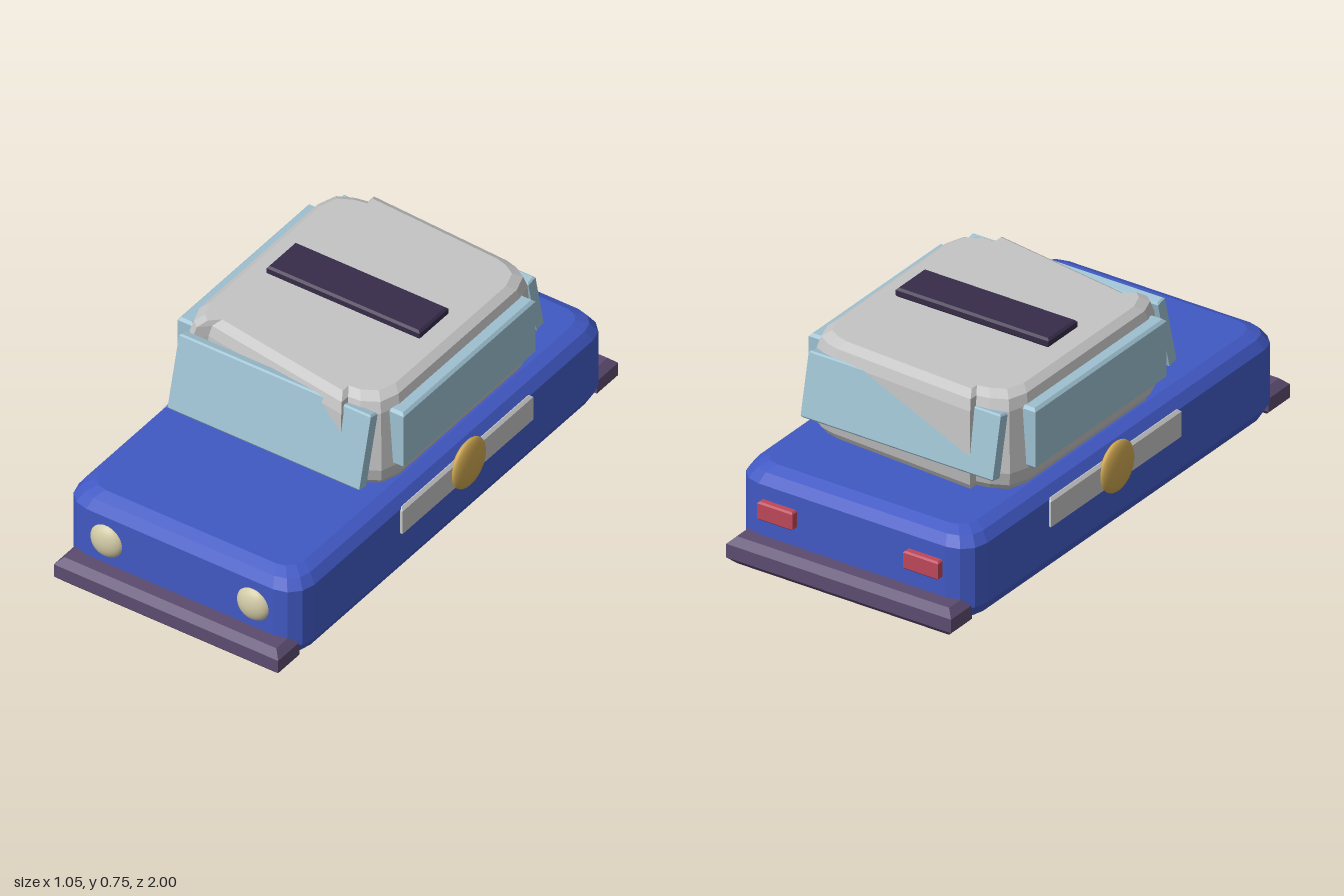
import * as THREE from 'three';

const mat = (name, color) => Object.assign(new THREE.MeshStandardMaterial({ color }), { name });

// Skin stacked horizontal rings ({y, pts: [[x, z], ...]}) and cap both ends.
function loft(rings) {
  const n = rings[0].pts.length, pos = [], idx = [];
  rings.forEach(r => r.pts.forEach(([x, z]) => pos.push(x, r.y, z)));
  for (let k = 0; k < rings.length - 1; k++)
    for (let i = 0; i < n; i++) {
      const a = k * n + i, b = k * n + (i + 1) % n;
      idx.push(a, a + n, b, a + n, b + n, b);
    }
  [rings[0], rings[rings.length - 1]].forEach((r, top) => {
    const c = pos.length / 3, base = top ? (rings.length - 1) * n : 0;
    const mid = j => r.pts.reduce((s, p) => s + p[j], 0) / n;
    pos.push(mid(0), r.y, mid(1));
    for (let i = 0; i < n; i++) {
      const a = base + i, b = base + (i + 1) % n;
      if (top) idx.push(c, b, a); else idx.push(c, a, b);
    }
  });
  const indexed = new THREE.BufferGeometry();
  indexed.setAttribute('position', new THREE.Float32BufferAttribute(pos, 3));
  indexed.setIndex(idx);
  const g = indexed.toNonIndexed();
  g.computeVertexNormals(); // one normal per facet
  return g;
}

// Rectangle outline with faceted round corners.
function outline(hx, hz, r, seg) {
  const pts = [];
  [[1, 1], [-1, 1], [-1, -1], [1, -1]].forEach(([sx, sz], q) => {
    for (let i = 0; i <= seg; i++) {
      const a = (q + (seg ? i / seg : 0)) * Math.PI / 2;
      pts.push(r ? [sx * (hx - r) + r * Math.cos(a), sz * (hz - r) + r * Math.sin(a)] : [sx * hx, sz * hz]);
    }
  });
  return pts;
}

// Box with chamfered top and bottom edges.
function chamferBox(w, h, d, c) {
  return loft([[-h / 2, c], [-h / 2 + c, 0], [h / 2 - c, 0], [h / 2, c]]
    .map(([y, inset]) => ({ y, pts: outline(w / 2 - inset, d / 2 - inset, 0, 0) })));
}

export function createModel() {
  const group = new THREE.Group();
  const blue = mat('body blue', 0x4159c4);
  const grey = mat('cabin grey', 0xc4c4c4);
  const glass = mat('window blue', 0x9dc0d0);
  const purple = mat('bumper purple', 0x5b4b70);
  const dark = mat('roof rack dark purple', 0x372c49);
  const gold = mat('disc gold', 0xcca550);
  const cream = mat('headlight cream', 0xd2caa6);
  const red = mat('tail light red', 0xbd475a);

  const add = (name, geometry, material, x, y, z) => {
    const m = new THREE.Mesh(geometry, material);
    m.name = name;
    m.position.set(x, y, z);
    group.add(m);
    return m;
  };

  // Low body with rolled edges
  const bodyRings = [[0.01, 0.06], [0.025, 0.025], [0.07, 0], [0.3, 0], [0.336, 0.025], [0.355, 0.065]];
  add('body', loft(bodyRings.map(([y, s]) => ({ y, pts: outline(0.485 - s, 0.92 - s, 0.1 - s * 0.5, 3) }))), blue, 0, 0, 0);

  // Cabin with skewed front and back panels, outline centred on z = -0.13
  const cabin = [
    [0.425, 0.23], [0.4, 0.305], [0.34, 0.34], [0.29, 0.345], [0.29, 0.384],
    [-0.33, 0.288], [-0.37, 0.325], [-0.4, 0.3], [-0.425, 0.23],
    [-0.425, -0.49], [-0.4, -0.565], [-0.34, -0.595], [-0.29, -0.605], [-0.29, -0.64],
    [0.3, -0.608], [0.35, -0.595], [0.4, -0.565], [0.425, -0.49],
  ];
  const cabinRings = [[0.35, 0.96], [0.38, 1], [0.43, 1.02], [0.66, 0.99], [0.7, 0.965], [0.72, 0.9]];
  add('cabin', loft(cabinRings.map(([y, s]) => ({
    y, pts: cabin.map(([x, z]) => [x * s, -0.13 + (z + 0.13) * s]),
  }))), grey, 0, 0, 0);

  // Roof rack
  add('roofRack', chamferBox(0.63, 0.036, 0.17, 0.008), dark, 0, 0.737, -0.127);

  // Sloping front and rear windows
  add('windscreen', chamferBox(0.79, 0.285, 0.042, 0.006), glass, 0, 0.543, 0.373).rotation.x = -0.25;
  add('rearWindow', chamferBox(0.79, 0.24, 0.042, 0.006), glass, 0, 0.547, -0.613).rotation.x = 0.21;

  // Bumpers
  for (const s of [1, -1])
    add(s > 0 ? 'frontBumper' : 'rearBumper', chamferBox(0.925, 0.104, 0.125, 0.026), purple, 0, 0.053, s * 0.9375);

  // Mirrored parts
  const ball = new THREE.SphereGeometry(1, 32, 20);
  for (const s of [1, -1]) {
    const side = s > 0 ? 'left' : 'right';
    add(side + 'Window', chamferBox(0.065, 0.232, 0.775, 0.01), glass, s * 0.434, 0.55, -0.12);
    add(side + 'Trim', chamferBox(0.04, 0.116, 0.77, 0.01), grey, s * 0.475, 0.247, -0.07);
    add(side + 'Disc', ball, gold, s * 0.497, 0.26, -0.07).scale.set(0.026, 0.096, 0.096);
    add(side + 'Headlight', ball, cream, s * 0.302, 0.2, 0.91).scale.set(0.067, 0.067, 0.04);
    add(side + 'TailLight', chamferBox(0.145, 0.07, 0.05, 0.006), red, s * 0.3, 0.211, -0.922);
  }
  return group;
}
